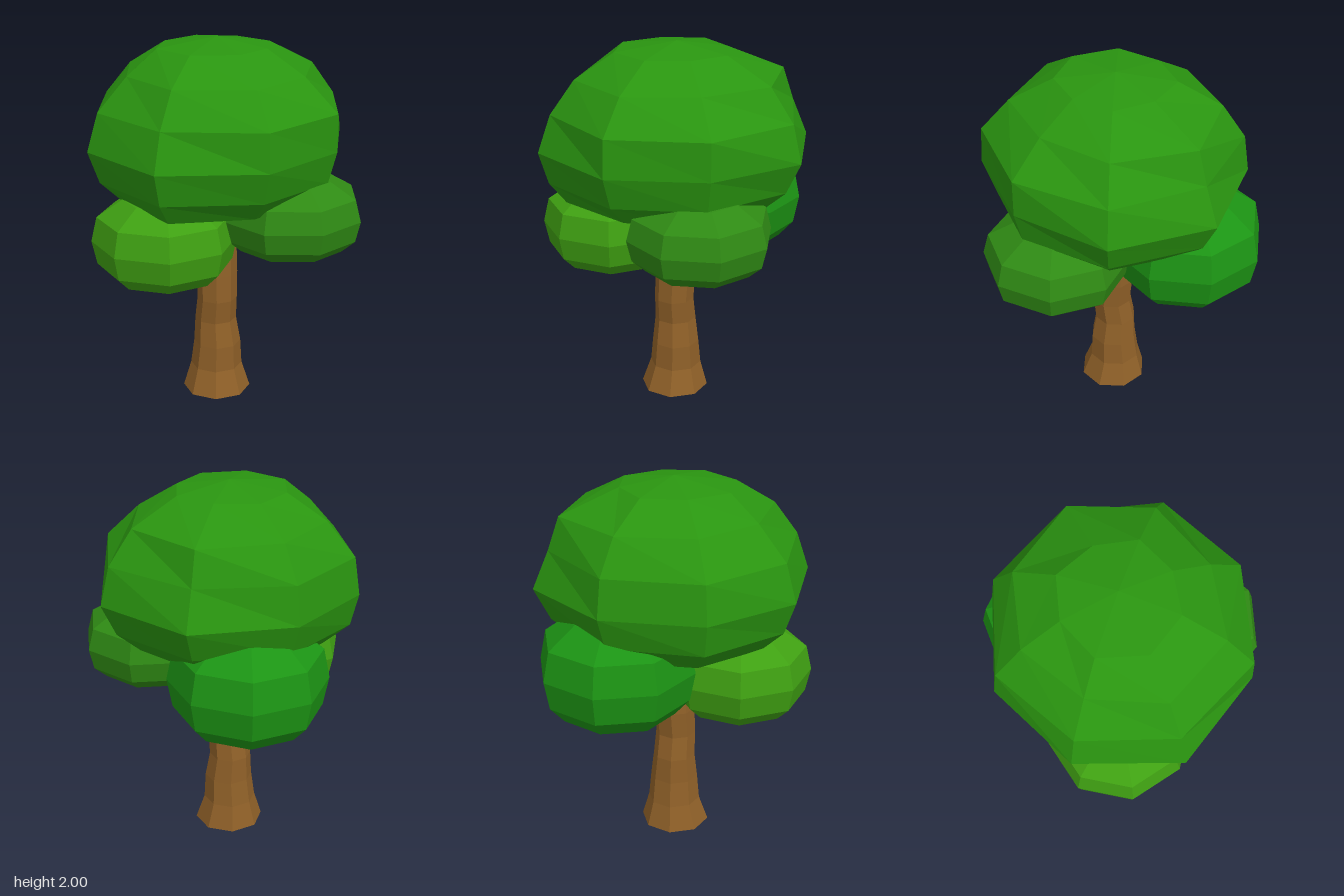
import * as THREE from 'three';

const SIDES = 8;

// Faceted skin over rings listed from top to bottom.
// Ring: [y, radius or eight radii, centre x, centre z]; angles run from +z towards +x.
function skin(name, color, rings, phase) {
  const corner = ([y, r, cx, cz], j) => {
    const k = j % SIDES;
    const a = phase + (k / SIDES) * Math.PI * 2;
    const d = Array.isArray(r) ? r[k] : r;
    return [cx + Math.sin(a) * d, y, cz + Math.cos(a) * d];
  };
  const pos = [];
  for (let i = 0; i < rings.length - 1; i++) {
    for (let j = 0; j < SIDES; j++) {
      const a = corner(rings[i], j), d = corner(rings[i], j + 1);
      const b = corner(rings[i + 1], j), c = corner(rings[i + 1], j + 1);
      if (rings[i + 1][1] !== 0) pos.push(...a, ...b, ...c);
      if (rings[i][1] !== 0) pos.push(...a, ...c, ...d);
    }
  }
  const geo = new THREE.BufferGeometry();
  geo.setAttribute('position', new THREE.Float32BufferAttribute(pos, 3));
  geo.computeVertexNormals();
  const mesh = new THREE.Mesh(geo, new THREE.MeshStandardMaterial({ color, flatShading: true }));
  mesh.name = name;
  return mesh;
}

// Squashed leaf clump: [height fraction, radius fraction]
const CLUMP = [[1, 0], [0.94, 0.56], [0.75, 0.92], [0.48, 1], [0.22, 0.93], [0.07, 0.74], [0.01, 0.42], [0, 0]];

function clump(name, color, x, z, radius, bottom, top, phaseDeg) {
  const rings = CLUMP.map(([h, r]) => [bottom + h * (top - bottom), r * radius, x, z]);
  return skin(name, color, rings, THREE.MathUtils.degToRad(phaseDeg));
}

export function createModel() {
  const tree = new THREE.Group();
  tree.name = 'tree';

  // Trunk: flared foot, slightly uneven shaft, closed at both ends
  const trunk = [
    [1.25, 0, -0.05, 0], [1.25, 0.08, -0.05, 0],
    [0.9, 0.1, -0.055, 0], [0.7, 0.112, -0.06, 0.005], [0.55, 0.109, -0.055, 0.015],
    [0.42, 0.114, -0.07, 0.003], [0.28, 0.13, -0.06, 0.005], [0.14, 0.143, -0.067, 0.003],
    [0, 0.187, -0.062, 0.01], [0, 0, -0.062, 0.01],
  ];
  tree.add(skin('trunk', 0x8f6028, trunk, Math.PI / 8));

  // Main crown: radii ordered front, front-left, left, back-left, back, back-right, right, front-right
  const crown = [
    [2.0, 0],
    [1.955, [0.33, 0.31, 0.28, 0.3, 0.28, 0.31, 0.3, 0.33]],
    [1.825, [0.54, 0.54, 0.49, 0.55, 0.59, 0.54, 0.51, 0.49]],
    [1.65, [0.67, 0.69, 0.67, 0.68, 0.65, 0.66, 0.66, 0.65]],
    [1.45, [0.74, 0.7, 0.67, 0.73, 0.735, 0.69, 0.69, 0.71]],
    [1.28, [0.69, 0.64, 0.625, 0.65, 0.65, 0.63, 0.65, 0.65]],
    [1.165, [0.6, 0.52, 0.5, 0.52, 0.53, 0.52, 0.52, 0.53]],
    [1.11, 0.3],
    [1.1, 0],
  ].map(([y, r]) => [y, r, -0.06, 0]);
  tree.add(skin('mainCrown', 0x2a9510, crown, 0));

  // Three lower clumps around the trunk
  tree.add(clump('frontClump', 0x3fa012, -0.22, 0.32, 0.385, 0.74, 1.225, 30));
  tree.add(clump('leftClump', 0x2f8a14, 0.36, -0.015, 0.385, 0.88, 1.31, 0));
  tree.add(clump('backClump', 0x1c9414, -0.26, -0.345, 0.415, 0.79, 1.38, 18));

  return tree;
}
